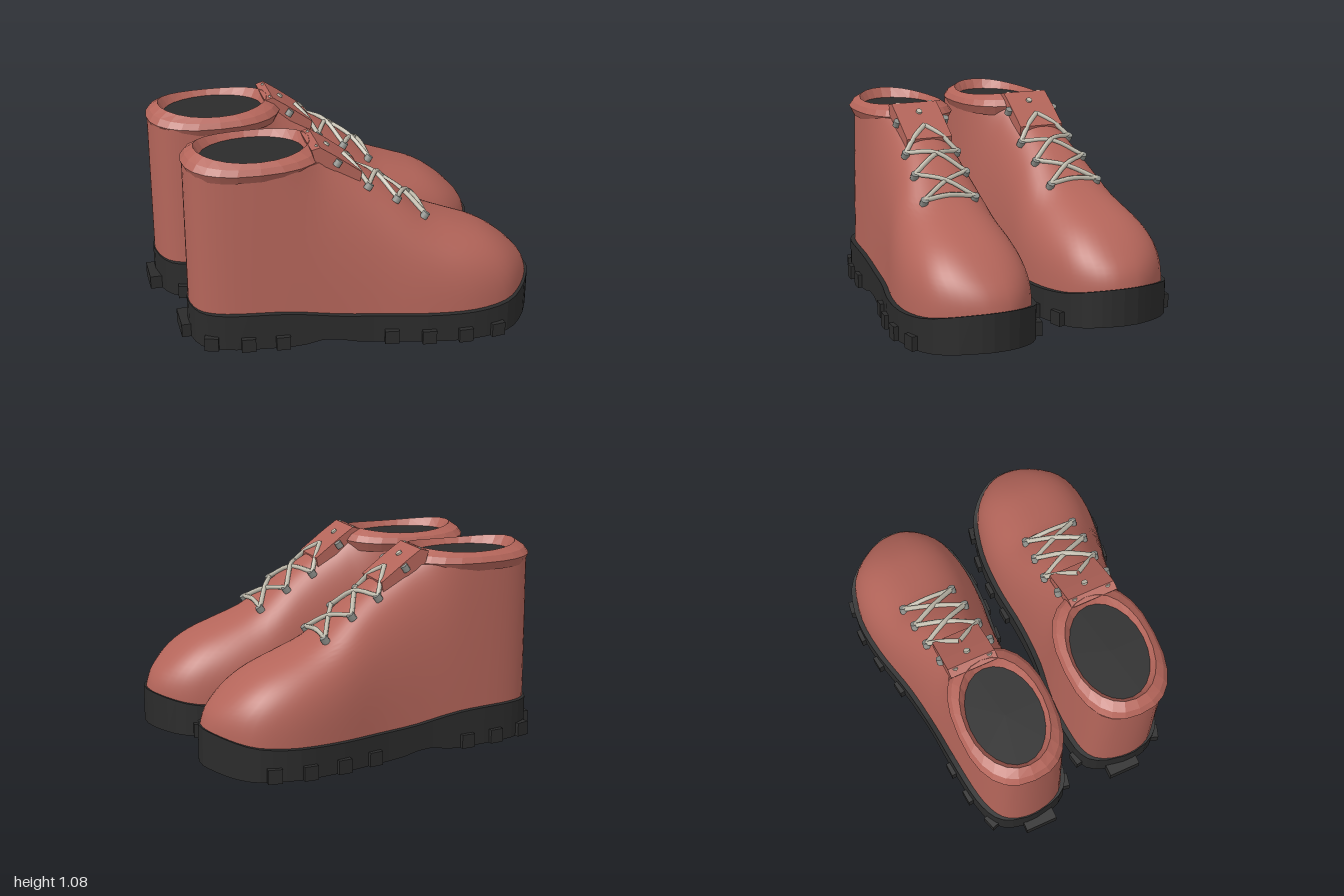
import * as THREE from 'three';
import { mergeVertices } from 'three/addons/utils/BufferGeometryUtils.js';

const material = (name, color) => {
  const m = new THREE.MeshStandardMaterial({ color });
  m.name = name;
  return m;
};

// smooth interpolation through a table of [x, value]
function curve(table) {
  const n = table.length - 1;
  const slope = (i) => {
    const a = table[Math.max(i - 1, 0)], b = table[Math.min(i + 1, n)];
    return (b[1] - a[1]) / (b[0] - a[0]);
  };
  return (x) => {
    if (x <= table[0][0]) return table[0][1];
    if (x >= table[n][0]) return table[n][1];
    let i = 0;
    while (x > table[i + 1][0]) i++;
    const [x0, y0] = table[i], [x1, y1] = table[i + 1], d = x1 - x0, t = (x - x0) / d;
    const t2 = t * t, t3 = t2 * t;
    return (2 * t3 - 3 * t2 + 1) * y0 + (t3 - 2 * t2 + t) * d * slope(i)
      + (3 * t2 - 2 * t3) * y1 + (t3 - t2) * d * slope(i + 1);
  };
}

// outline of the sole, its top and bottom edges, and the crest of the upper
const zIn = curve([[-0.865, 0.29], [-0.84, 0.17], [-0.78, 0.085], [-0.65, 0.045], [-0.4, 0.035], [-0.15, 0.07],
  [0.1, 0.07], [0.35, 0.045], [0.55, 0.045], [0.7, 0.07], [0.82, 0.11], [0.92, 0.19], [0.98, 0.28], [1, 0.35]]);
const zOut = curve([[-0.865, 0.35], [-0.84, 0.45], [-0.78, 0.52], [-0.65, 0.57], [-0.4, 0.605], [-0.15, 0.63],
  [0.1, 0.67], [0.35, 0.735], [0.55, 0.763], [0.7, 0.75], [0.82, 0.705], [0.92, 0.6], [0.98, 0.49], [1, 0.43]]);
const soleTop = curve([[-0.87, 0.2], [-0.4, 0.2], [-0.05, 0.16], [0.5, 0.16], [0.8, 0.175], [1, 0.22]]);
const soleBottom = curve([[-0.87, 0], [-0.5, 0], [-0.33, 0], [-0.18, 0.03], [0, 0.003], [0.1, 0], [0.85, 0], [1, 0.02]]);
const crest = curve([[-0.87, 3], [-0.5, 2.1], [-0.3, 1.35], [-0.2, 1.11], [-0.1, 1.005], [0, 0.93], [0.1, 0.865],
  [0.2, 0.795], [0.3, 0.715], [0.4, 0.64], [0.55, 0.575], [0.7, 0.515], [0.8, 0.455], [0.9, 0.37], [0.97, 0.28], [1, 0.17]]);

const BASE = 0.15, ARCH = 3, SIDE = 2.4;
const mid = (x) => (zIn(x) + zOut(x)) / 2;
const halfWidth = (x) => Math.max(0, (zOut(x) - zIn(x)) / 2 - 0.027);
const ease = (u) => (1 - Math.cos(Math.PI * u)) / 2;
// point on the upper's skin, lifted a little
const onUpper = (x, z, lift) => {
  const k = Math.min(1, Math.abs(z - mid(x)) / halfWidth(x));
  return new THREE.Vector3(x, BASE + (crest(x) - BASE) * Math.pow(1 - Math.pow(k, SIDE), 1 / ARCH) + lift, z);
};

// surface through rows of points
function skin(rows, flat = false) {
  const cols = rows[0].length, index = [];
  for (let i = 0; i < rows.length - 1; i++) for (let j = 0; j < cols - 1; j++) {
    const a = i * cols + j, b = a + cols;
    index.push(a, b, b + 1, a, b + 1, a + 1);
  }
  let g = new THREE.BufferGeometry();
  g.setAttribute('position', new THREE.Float32BufferAttribute(rows.flat(2), 3));
  g.setIndex(index);
  g = flat ? g.toNonIndexed() : mergeVertices(g);
  g.computeVertexNormals();
  return g;
}

function mirrorZ(g) {
  g.scale(1, 1, -1);
  if (!g.index) g.setIndex([...Array(g.attributes.position.count).keys()]);
  const a = g.index.array;
  for (let i = 0; i < a.length; i += 3) [a[i], a[i + 1]] = [a[i + 1], a[i]];
  return g;
}

// horizontal ring of the upper: heel, inner side, toe, outer side
function upperRing(y, closed = 1) {
  let lo = -0.86, hi = 0.997;
  for (let k = 0; k < 30; k++) {
    const m = (lo + hi) / 2;
    if (crest(m) > y) lo = m; else hi = m;
  }
  const N = 36, ring = [], taper = 1 - 0.06 * (y - BASE);
  for (let j = 0; j <= 2 * N; j++) {
    const u = j <= N ? j / N : 2 - j / N;
    const x = -0.86 + (lo + 0.86) * ease(u);
    const k = Math.min(1, Math.max(0, (y - BASE) / (crest(x) - BASE)));
    const w = u === 0 || u === 1 ? 0 : halfWidth(x) * taper * Math.pow(1 - Math.pow(k, ARCH), 1 / SIDE) * closed;
    ring.push([x, y, mid(x) + (j <= N ? -w : w)]);
  }
  return ring;
}

// oval ring of the collar; a lower power makes it squarer
function collarRing(rx, rz, y, wave, power) {
  const bend = (c) => Math.sign(c) * Math.pow(Math.abs(c), power);
  return Array.from({ length: 25 }, (_, j) => {
    const a = (j % 24) / 24 * Math.PI * 2, c = Math.cos(a);
    return [-0.5 + rx * bend(c), y + wave * c * c, 0.315 + rz * bend(Math.sin(a))];
  });
}

function createBoot(name, mirrored, mats) {
  const boot = new THREE.Group();
  boot.name = name;
  const add = (part, geometry, mat) => {
    const mesh = new THREE.Mesh(mirrored ? mirrorZ(geometry) : geometry, mat);
    mesh.name = part;
    boot.add(mesh);
  };

  // sole, closed at heel and toe
  const rows = [];
  for (let i = 0; i <= 32; i++) {
    const x = -0.865 + 1.865 * ease(i / 32), t = soleTop(x), b = Math.max(0, soleBottom(x));
    const section = (p, q) => [[x, t, p], [x, b, p], [x, b, q], [x, t, q], [x, t, p]];
    if (i === 0) rows.push(section(mid(x), mid(x)));
    rows.push(section(zIn(x), zOut(x)));
    if (i === 32) rows.push(section(mid(x), mid(x)));
  }
  add('sole', skin(rows, true), mats.rubber);

  // tread lugs along both edges and at the heel
  const lugs = (xs, edge, inward) => xs.forEach((x) => {
    const g = new THREE.BoxGeometry(0.075, 0.075, 0.08);
    g.rotateY(-Math.atan2(edge(x + 0.02) - edge(x - 0.02), 0.04) * 0.6);
    g.translate(x, 0.0375, edge(x) + inward * 0.016);
    add('treadLug', g, mats.rubber);
  });
  lugs([-0.73, -0.54, -0.37, 0.23, 0.41, 0.59, 0.77], zIn, 1);
  lugs([-0.77, -0.59, -0.41, 0.16, 0.35, 0.54, 0.72], zOut, -1);
  add('heelLug', new THREE.BoxGeometry(0.08, 0.075, 0.18).translate(-0.87, 0.0375, 0.28), mats.rubber);

  // upper
  const TOP = 0.99;
  const levels = Array.from({ length: 36 }, (_, i) => 0.12 + (TOP - 0.12) * i / 35);
  add('upper', skin(levels.map((y) => upperRing(y))), mats.leather);
  add('upperTop', skin([upperRing(TOP), upperRing(TOP, 0)]), mats.leather);

  // padded collar and dark opening
  const inner = collarRing(0.27, 0.19, 1.01, 0, 1);
  add('collar', skin([collarRing(0.345, 0.235, 0.945, 0, 0.82), collarRing(0.368, 0.258, 0.99, 0.01, 0.82),
    collarRing(0.345, 0.24, 1.02, 0.015, 0.85), collarRing(0.3, 0.21, 1.042, 0.025, 0.95), inner], true), mats.leather);
  add('opening', skin([inner, inner.map(() => [-0.5, 1.01, 0.315])]), mats.rubber);

  // tongue flap
  const side = new THREE.Shape([[0.04, 0.912], [-0.1, 1.017], [-0.18, 1.072], [-0.225, 1.06], [-0.2, 0.97], [-0.09, 0.93], [0.03, 0.86]]
    .map(([x, y]) => new THREE.Vector2(x, y)));
  add('tongue', new THREE.ExtrudeGeometry(side, { depth: 0.26, bevelEnabled: false }).translate(0, 0, 0.228), mats.leather);

  // crossed laces, each slightly bent over the instep
  const rowsX = [0.37, 0.22, 0.07], left = [0.53, 0.52, 0.51], right = [0.245, 0.23, 0.215];
  const lace = (x0, z0, x1, z1, lift) => {
    const a = onUpper(x0, z0, 0.022), b = onUpper(x1, z1, 0.022);
    const m = onUpper((x0 + x1) / 2, (z0 + z1) / 2, lift);
    add('lace', new THREE.TubeGeometry(new THREE.CatmullRomCurve3([a, m, b]), 8, 0.013, 6), mats.lace);
  };
  for (let i = 0; i < 2; i++) {
    lace(rowsX[i], left[i], rowsX[i + 1], right[i + 1], 0.012);
    lace(rowsX[i], right[i], rowsX[i + 1], left[i + 1], 0.02);
  }
  lace(rowsX[0], left[0], rowsX[0], right[0], 0.014);
  lace(rowsX[2], left[2], -0.03, 0.36, 0.02);
  lace(rowsX[2], right[2], -0.03, 0.36, 0.02);

  // eyelets and studs
  const stud = (part, p, r, mat) => add(part,
    new THREE.CylinderGeometry(r, r, 0.035, 8).rotateZ(-0.6).translate(p.x, p.y, p.z), mat);
  rowsX.forEach((x, i) => [left[i], right[i]].forEach((z) =>
    stud('eyelet', onUpper(x, z, 0.012), 0.022, mats.metal)));
  [0.495, 0.215].forEach((z) => stud('eyelet', new THREE.Vector3(-0.09, 0.98, z), 0.02, mats.metal));
  [[-0.12, 1.022, 0.355], [-0.19, 1.052, 0.45], [-0.19, 1.052, 0.26]].forEach((p) =>
    stud('tongueStud', new THREE.Vector3(...p), 0.017, mats.lace));
  return boot;
}

export function createModel() {
  const mats = {
    leather: material('red leather', 0xb4655a),
    rubber: material('black rubber', 0x2b2b2b),
    lace: material('pale lace', 0xc4bfb0),
    metal: material('grey metal', 0x8f918c),
  };
  const model = new THREE.Group();
  model.name = 'bootPair';
  const nearBoot = createBoot('nearBoot', false, mats);
  const farBoot = createBoot('farBoot', true, mats);
  farBoot.position.x = -0.09;
  model.add(nearBoot, farBoot);
  return model;
}
